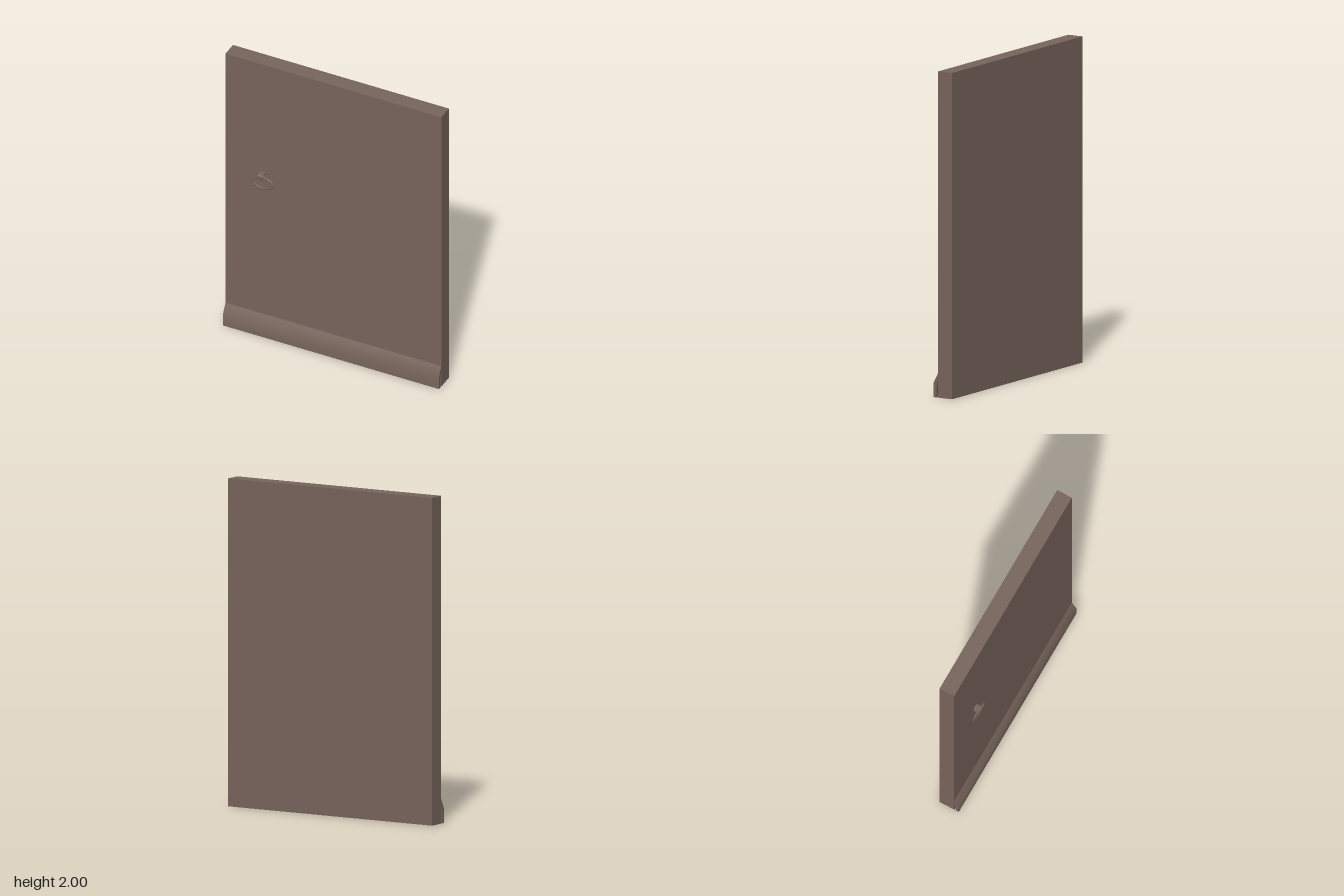
import * as THREE from 'three';
import { toCreasedNormals } from 'three/addons/utils/BufferGeometryUtils.js';

const WIDTH = 1.458;

// Extrudes a (z, y) side profile along x, centred on x = 0
function extrudeAcross(profile, length, hole) {
  const toPoints = (list) => list.map(([z, y]) => new THREE.Vector2(z, y));
  const shape = new THREE.Shape(toPoints(profile));
  if (hole) shape.holes.push(new THREE.Path(toPoints(hole)));
  const geometry = new THREE.ExtrudeGeometry(shape, { depth: length, bevelEnabled: false });
  geometry.translate(0, 0, -length / 2);
  geometry.rotateY(-Math.PI / 2);
  return geometry;
}

export function createModel() {
  const model = new THREE.Group();
  model.name = 'door';
  const brown = new THREE.MeshStandardMaterial({ color: 0x78655c });
  brown.name = 'brown wood';

  function add(name, geometry, x, y, z) {
    const mesh = new THREE.Mesh(geometry, brown);
    mesh.name = name;
    mesh.position.set(x, y, z);
    model.add(mesh);
    return mesh;
  }

  // Door slab
  add('doorPanel', new THREE.BoxGeometry(WIDTH, 2, 0.101), 0, 1, -0.0225);

  // Weather board along the foot, standing slightly off the slab at the bottom
  const board = extrudeAcross([
    [0.028, 0], [0.059, 0], [0.059, 0.09], [0.028, 0.15],
  ].map(([z, y], i) => (i === 0 ? [0.037, 0] : [z, y])).concat([[0.028, 0.11], [0.037, 0.07]]), WIDTH);
  add('weatherBoard', toCreasedNormals(board, 0.6), 0, 0, 0);

  // Strap loop that holds the pull ring
  const strap = extrudeAcross(
    [[0.028, 1.172], [0.068, 1.172], [0.073, 1.179], [0.073, 1.198], [0.068, 1.205], [0.028, 1.205]],
    0.036,
    [[0.028 + 0.003, 1.177], [0.031, 1.199], [0.065, 1.199], [0.067, 1.195], [0.067, 1.181], [0.065, 1.177]],
  );
  add('ringStrap', strap, -0.473, 0, 0);

  // Oval pull ring
  const ring = add('pullRing', new THREE.TorusGeometry(0.067, 0.01, 10, 40), -0.467, 1.141, 0.053);
  ring.scale.set(1, 0.6, 0.5);

  return model;
}
